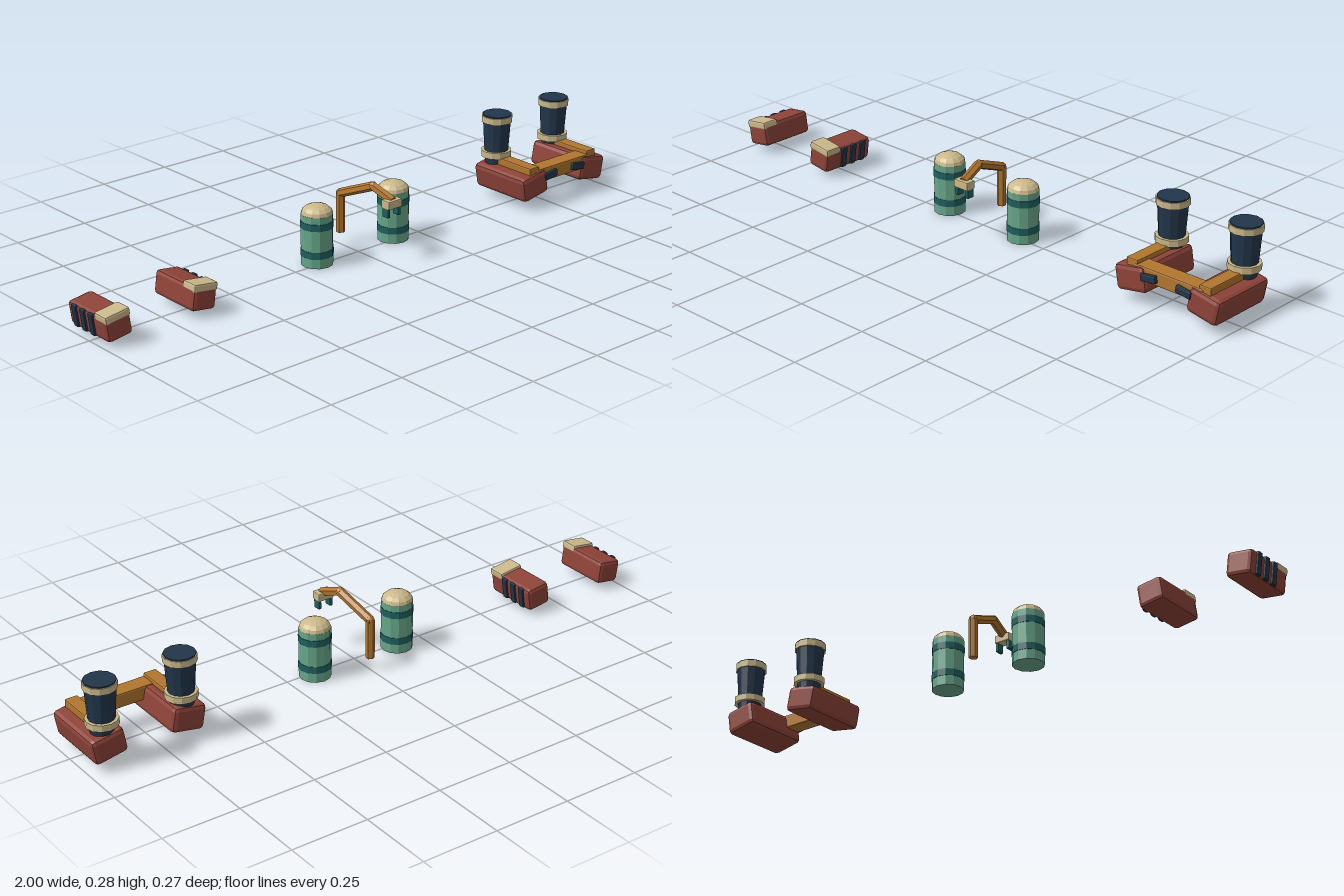
import * as THREE from 'three';
import { RoundedBoxGeometry } from 'three/addons/geometries/RoundedBoxGeometry.js';

const paint = (name, color) => Object.assign(new THREE.MeshStandardMaterial({ color }), { name });

export function createModel() {
  const red = paint('brick red', 0x8e4339);
  const gold = paint('ochre', 0xb2762e);
  const beige = paint('sand', 0xcbb98a);
  const navy = paint('navy', 0x22364a);
  const green = paint('sage green', 0x68a68a);
  const teal = paint('teal', 0x1f5f60);

  const root = new THREE.Group();
  root.name = 'gearKit';

  // faceted shading for any geometry
  const flat = (g) => {
    const f = g.index ? g.toNonIndexed() : g;
    f.computeVertexNormals();
    return f;
  };
  const add = (parent, name, geo, mat, x = 0, y = 0, z = 0) => {
    const m = new THREE.Mesh(flat(geo), mat);
    m.name = name;
    m.position.set(x, y, z);
    parent.add(m);
    return m;
  };
  const group = (name, x, y, z) => {
    const g = new THREE.Group();
    g.name = name;
    g.position.set(x, y, z);
    root.add(g);
    return g;
  };
  const block = (w, h, d, bevel) => new RoundedBoxGeometry(w, h, d, 1, bevel);
  const drum = (rTop, rBottom, h) => new THREE.CylinderGeometry(rTop, rBottom, h, 12);

  // Gauntlets: tilted blocks with a cuff and three outer straps
  for (const s of [-1, 1]) {
    const g = group(s < 0 ? 'rightGauntlet' : 'leftGauntlet', -0.804 + s * 0.149, 0.058, -0.01);
    g.rotation.z = -s * 0.14;
    add(g, 'gauntletBody', block(0.084, 0.076, 0.19, 0.012), red);
    add(g, 'gauntletCuff', block(0.084, 0.026, 0.058, 0.006), beige, 0, 0.033, 0.067);
    for (const z of [-0.058, -0.018, 0.022])
      add(g, 'gauntletStrap', block(0.012, 0.07, 0.022, 0.004), navy, s * 0.042, 0.002, z);
  }

  // Twin tanks: cylinder, two bands, domed cap
  for (const s of [-1, 1]) {
    const g = group(s < 0 ? 'rightTank' : 'leftTank', s * 0.155, 0, -0.0125);
    add(g, 'tankBody', drum(0.05, 0.05, 0.165), green, 0, 0.0825, 0);
    for (const y of [0.042, 0.132])
      add(g, 'tankBand', drum(0.0515, 0.0515, 0.022), teal, 0, y, 0);
    const dome = new THREE.SphereGeometry(0.05, 12, 4, 0, Math.PI * 2, 0, Math.PI / 2);
    dome.scale(1, 0.6, 1);
    add(g, 'tankDome', dome, beige, 0, 0.164, 0);
  }

  // Jointed arm between the tanks, ending in a two-fingered grip
  const arm = group('grabArm', 0, 0, 0);
  const joints = [[0, 0.042, -0.083], [0, 0.17, -0.083], [0.022, 0.222, 0.043], [0.034, 0.193, 0.12]]
    .map((p) => new THREE.Vector3(...p));
  for (let i = 0; i < 3; i++) {
    const dir = joints[i + 1].clone().sub(joints[i]);
    const rod = add(arm, 'armSegment', new THREE.CylinderGeometry(0.0145, 0.0145, dir.length(), 6), gold);
    rod.position.copy(joints[i]).addScaledVector(dir, 0.5);
    rod.quaternion.setFromUnitVectors(new THREE.Vector3(0, 1, 0), dir.normalize());
    if (i) add(arm, 'armJoint', new THREE.SphereGeometry(0.0145, 8, 6), gold, ...joints[i].toArray());
  }
  add(arm, 'gripPalm', block(0.056, 0.027, 0.035, 0.004), beige, 0.033, 0.185, 0.116);
  for (const s of [-1, 1])
    add(arm, 'gripFinger', block(0.011, 0.032, 0.026, 0.003), teal, 0.033 + s * 0.021, 0.16, 0.115);

  // Boots: tilted blocks with a flared stack standing at the back
  for (const s of [-1, 1]) {
    const x = 0.803 + s * 0.131;
    const g = group(s < 0 ? 'rightBoot' : 'leftBoot', x, 0, 0);
    const body = add(g, 'bootBody', block(0.11, 0.082, 0.23, 0.014), red, 0, 0.077, -0.011);
    body.rotation.z = -s * 0.18;
    add(g, 'stackBody', drum(0.048, 0.037, 0.168), navy, 0, 0.194, -0.083);
    add(g, 'stackLowerRim', drum(0.05, 0.05, 0.021), beige, 0, 0.145, -0.083);
    add(g, 'stackUpperRim', drum(0.051, 0.051, 0.021), beige, 0, 0.263, -0.083);
    add(g, 'bootRail', block(0.042, 0.036, 0.17, 0.004), gold, 0, 0.12, 0.009);
    // dark grip pads on the front of the yoke
    const pad = add(g, 'yokePad', block(0.055, 0.024, 0.014, 0.004), navy, -s * 0.068, 0.1, 0.1);
    pad.rotation.z = -s * 0.14;
  }

  // Yoke bar joining the boots
  const yoke = group('yoke', 0.803, 0, 0);
  add(yoke, 'yokeBar', block(0.25, 0.046, 0.056, 0.005), gold, 0, 0.104, 0.068);

  return root;
}
